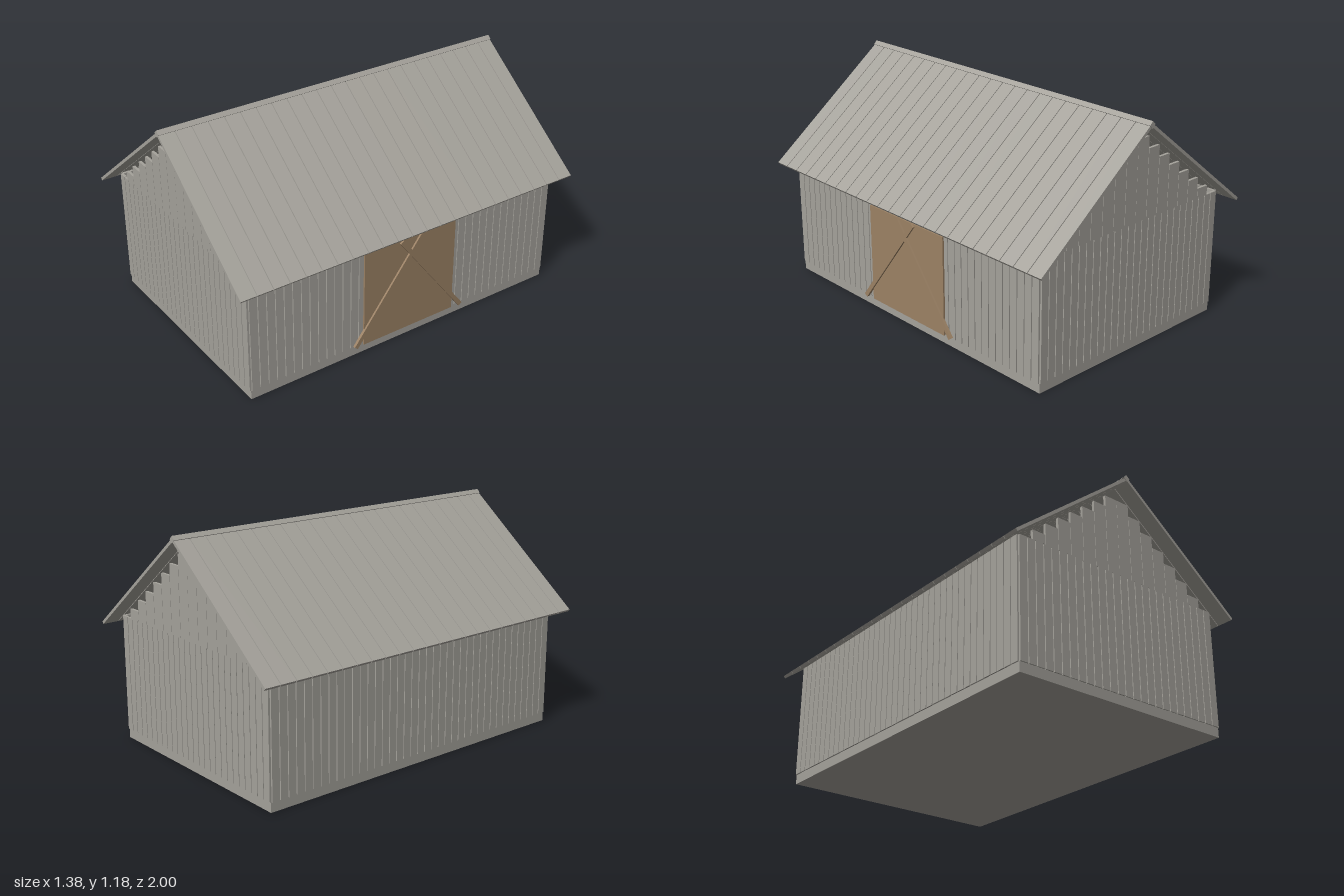
import * as THREE from 'three';

const greyWood = new THREE.MeshStandardMaterial({ color: 0xa5a29b });
greyWood.name = 'weathered grey wood';
const brownWood = new THREE.MeshStandardMaterial({ color: 0x9c8265 });
brownWood.name = 'brown door wood';

function addBox(parent, name, material, size, position) {
  const mesh = new THREE.Mesh(new THREE.BoxGeometry(...size), material);
  mesh.name = name;
  mesh.position.set(...position);
  parent.add(mesh);
  return mesh;
}

function addGroup(parent, name) {
  const group = new THREE.Group();
  group.name = name;
  parent.add(group);
  return group;
}

export function createModel() {
  const barn = new THREE.Group();
  barn.name = 'barn';

  const baseHeight = 0.05, wallTop = 0.66;
  const wallHeight = wallTop - baseHeight, wallY = (wallTop + baseHeight) / 2;
  const pitch = 0.047, plankWidth = 0.0425, plankDepth = 0.014;

  addBox(barn, 'foundation', greyWood, [1.22, baseHeight, 1.836], [0, baseHeight / 2, 0]);

  // End walls with stepped gables
  for (const side of [1, -1]) {
    const end = addGroup(barn, side > 0 ? 'frontWall' : 'backWall');
    const z = side * 0.917;
    for (let i = 0; i < 26; i++) {
      addBox(end, 'wallPlank', greyWood, [plankWidth, wallHeight, plankDepth], [(i - 12.5) * pitch, wallY, z]);
    }
    for (let i = 0; i < 7; i++) {
      const height = 1.07 - i * 0.06 - wallTop;
      for (const s of [1, -1]) {
        addBox(end, 'gablePlank', greyWood, [0.074, height, plankDepth],
          [s * (0.0375 + i * 0.0763), wallTop + height / 2, z]);
      }
    }
  }

  // Long walls, with a doorway on the left
  for (const side of [1, -1]) {
    const wall = addGroup(barn, side > 0 ? 'leftWall' : 'rightWall');
    for (let i = -19; i <= 19; i++) {
      const z = i * pitch;
      if (side > 0 && Math.abs(z) < 0.28) continue;
      addBox(wall, 'wallPlank', greyWood, [plankDepth, wallHeight, plankWidth], [side * 0.61, wallY, z]);
    }
  }

  // Door with two crossing braces
  const door = addGroup(barn, 'door');
  addBox(door, 'doorPanel', brownWood, [0.014, 0.52, 0.556], [0.619, 0.31, 0]);
  for (const s of [1, -1]) {
    const brace = addBox(door, 'doorBrace', brownWood, [0.014, 0.645, 0.023], [0.629, 0.31, s * 0.134]);
    brace.rotation.x = -s * Math.atan2(0.396, 0.513);
  }

  // Roof boards on both slopes
  const run = 0.686, rise = 0.538, ridgeY = 1.156;
  const slopeLength = Math.hypot(run, rise), angle = Math.atan2(rise, run);
  const boardCount = 23, boardPitch = 2 / boardCount;
  for (const side of [1, -1]) {
    const slope = addGroup(barn, side > 0 ? 'leftRoof' : 'rightRoof');
    slope.position.set(side * run / 2, ridgeY - rise / 2, 0);
    slope.rotation.z = -side * angle;
    for (let i = 0; i < boardCount; i++) {
      addBox(slope, 'roofBoard', greyWood, [slopeLength, 0.015, boardPitch - 0.004],
        [0, 0, (i - (boardCount - 1) / 2) * boardPitch]);
    }
  }

  // Square ridge beam turned on its edge
  const ridge = addBox(barn, 'ridgeBeam', greyWood, [0.026, 0.026, 2], [0, 1.157, 0]);
  ridge.rotation.z = Math.PI / 4;

  return barn;
}
